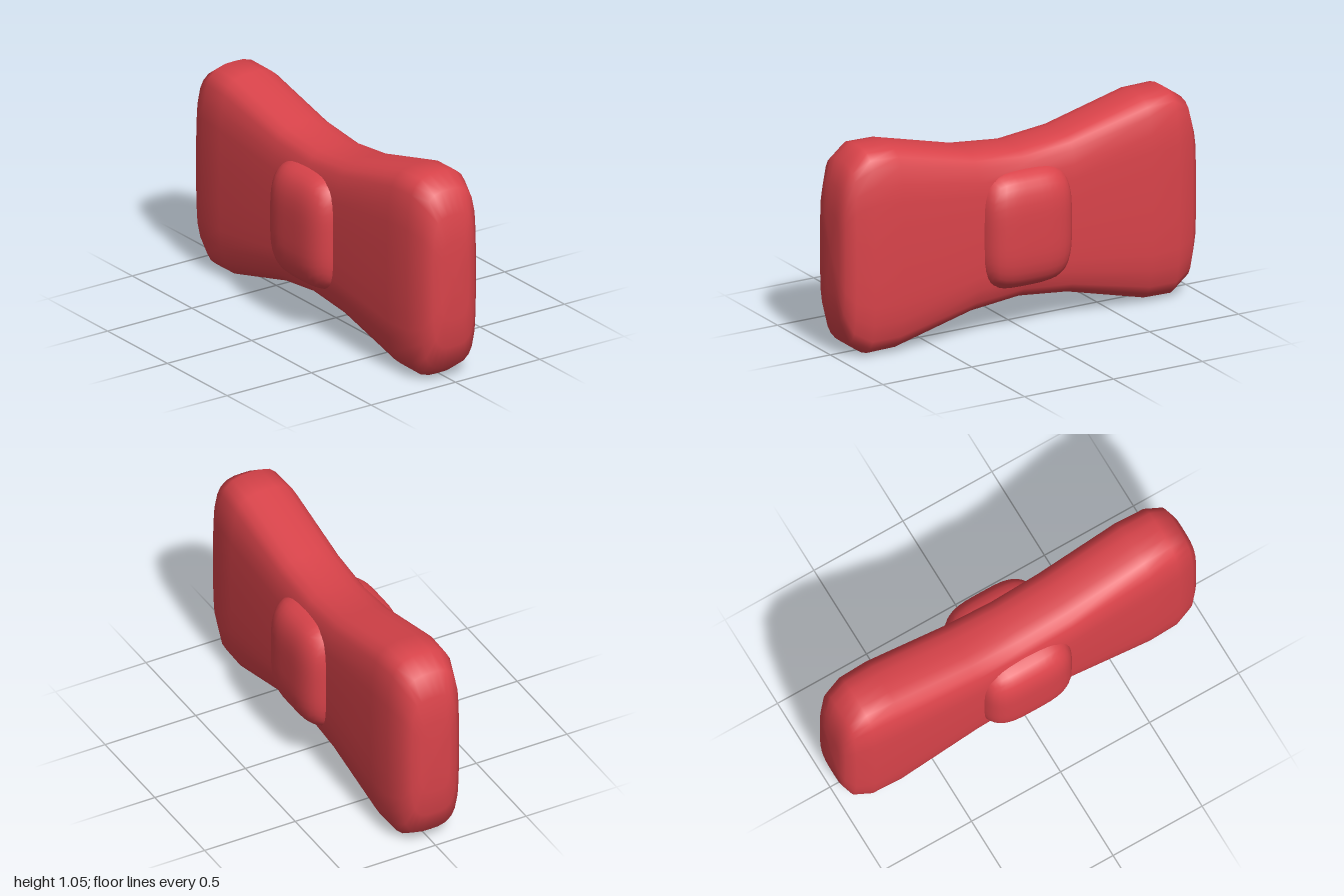
import * as THREE from 'three';
import { mergeVertices } from 'three/addons/utils/BufferGeometryUtils.js';

const CENTER_Y = 0.53;

// Closed loop of the rounded cross-section, as (z, y) fractions, from top round by +z
function sectionLoop() {
  const q = [[0, 1], [0.27, 0.997], [0.54, 0.972], [0.73, 0.915], [0.85, 0.835],
    [0.95, 0.67], [0.98, 0.5], [1, 0.25], [1, 0]];
  const right = [...q, ...q.slice(0, -1).reverse().map(([z, y]) => [z, -y])];
  const left = right.slice(1, -1).reverse().map(([z, y]) => [-z, y]);
  return [...right, ...left];
}

// Bow body: sections of changing height and depth lofted along x
function bowGeometry() {
  // x, half height, half depth
  const half = [[0, 0.383, 0.187], [0.27, 0.411, 0.19], [0.7, 0.522, 0.196], [0.855, 0.527, 0.187],
    [0.945, 0.465, 0.16], [0.985, 0.345, 0.122], [0.999, 0.2, 0.08], [1, 0, 0]];
  const stations = [...half.slice(1).reverse().map(([x, h, d]) => [-x, h, d]), ...half];
  const loop = sectionLoop();
  const n = loop.length;
  const pos = [], index = [];
  stations.forEach(([x, h, d], i) => {
    loop.forEach(([z, y], j) => {
      pos.push(x, y * h, z * d);
      if (i === stations.length - 1) return;
      const a = i * n + j, b = i * n + (j + 1) % n;
      index.push(a, b, a + n, b, b + n, a + n);
    });
  });
  const g = new THREE.BufferGeometry();
  g.setAttribute('position', new THREE.Float32BufferAttribute(pos, 3));
  g.setIndex(index);
  g.computeVertexNormals();
  return g;
}

// Knot: a box inflated to a soft, pillow-like block
function knotGeometry() {
  const box = new THREE.BoxGeometry(2, 2, 2, 12, 12, 12);
  box.deleteAttribute('normal');
  box.deleteAttribute('uv');
  const g = mergeVertices(box);
  const p = g.attributes.position, e = 3.8;
  for (let i = 0; i < p.count; i++) {
    const v = new THREE.Vector3().fromBufferAttribute(p, i);
    const r = (Math.abs(v.x) ** e + Math.abs(v.y) ** e + Math.abs(v.z) ** e) ** (1 / e);
    p.setXYZ(i, v.x / r * 0.262, v.y / r * 0.311, v.z / r * 0.28);
  }
  g.computeVertexNormals();
  return g;
}

export function createModel() {
  const red = new THREE.MeshStandardMaterial({ color: 0xd9434a });
  red.name = 'red fabric';
  const group = new THREE.Group();
  group.name = 'bowTie';
  const add = (name, geometry) => {
    const mesh = new THREE.Mesh(geometry, red);
    mesh.name = name;
    mesh.position.y = CENTER_Y;
    group.add(mesh);
  };
  add('bow', bowGeometry());
  add('knot', knotGeometry());
  return group;
}
